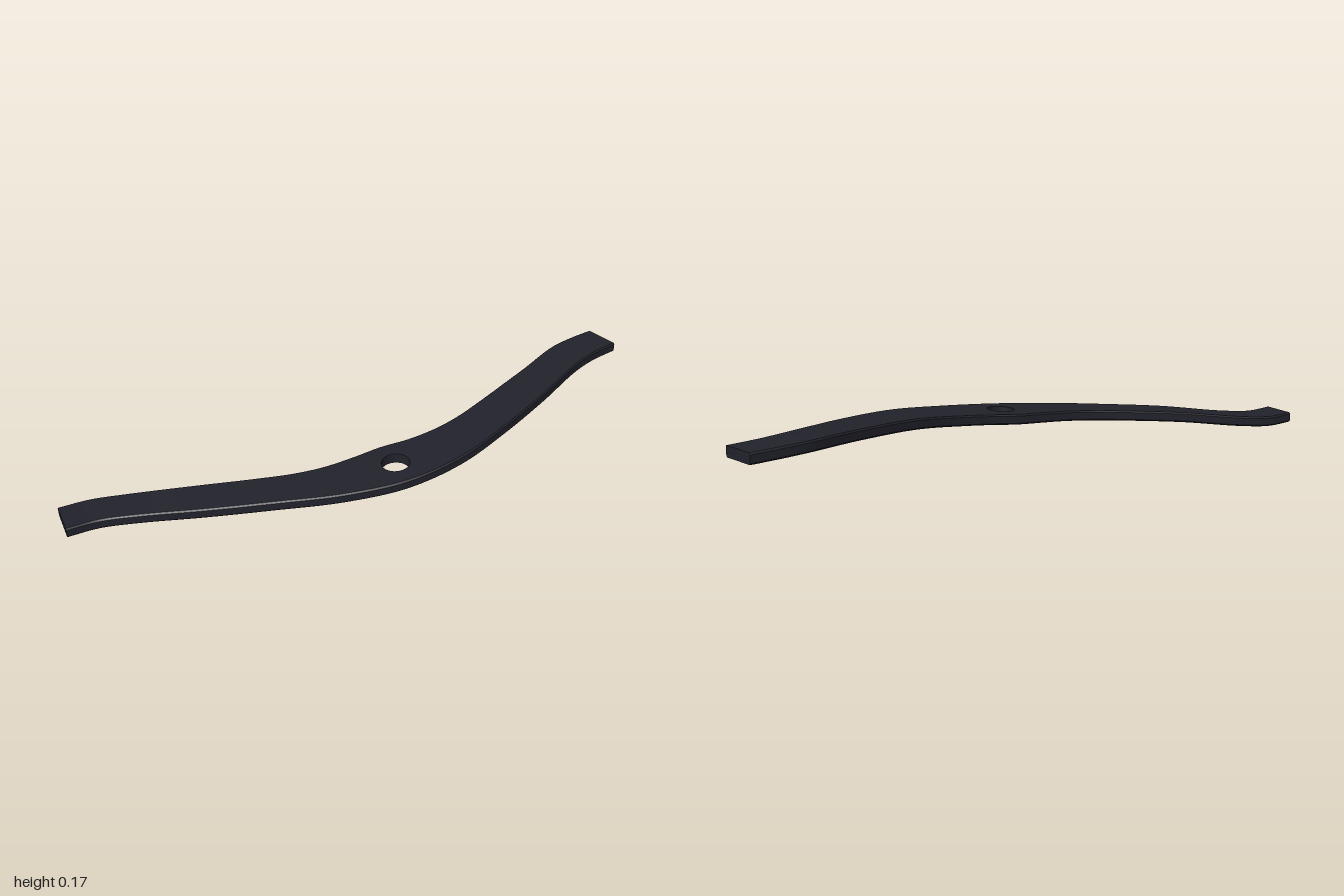
import * as THREE from 'three';
import { toCreasedNormals } from 'three/addons/utils/BufferGeometryUtils.js';

// Smooth function of x through a few [x, value] points
function curve(points) {
  const f = new THREE.CubicInterpolant(points.map(p => p[0]), points.map(p => p[1]), 1, [0]);
  return x => f.evaluate(x)[0];
}

const frontEdge = curve([[-1, -0.06], [-0.9, -0.065], [-0.8, -0.035], [-0.6, 0.055], [-0.4, 0.13], [-0.2, 0.198],
  [0, 0.232], [0.2, 0.212], [0.4, 0.145], [0.6, 0.052], [0.8, -0.055], [0.9, -0.095], [1, -0.12]]);
const backEdge = curve([[-1, -0.18], [-0.9, -0.184], [-0.8, -0.157], [-0.6, -0.08], [-0.4, -0.01], [-0.3, 0.02],
  [-0.2, 0.036], [-0.1, 0.035], [0, 0.029], [0.1, 0.037], [0.2, 0.031], [0.3, 0.01], [0.4, -0.025], [0.6, -0.11],
  [0.8, -0.197], [0.9, -0.222], [1, -0.24]]);
const height = curve([[-1, 0.02], [-0.9, 0.017], [-0.8, 0.023], [-0.6, 0.045], [-0.4, 0.06], [-0.2, 0.073],
  [0, 0.086], [0.2, 0.104], [0.4, 0.127], [0.6, 0.14], [0.8, 0.148], [0.9, 0.148], [1, 0.147]]);

const HALF = 0.017, BEVEL = 0.005;
const HOLE_X = 0.007, HOLE_R = 0.045;

// Columns along the bar, spaced round the circle where they cross the hole
function columns() {
  const list = [], n = 44, m = 24;
  const a = HOLE_X - HOLE_R, b = HOLE_X + HOLE_R;
  for (let i = 0; i < n; i++) list.push({ x: -1 + (a + 1) * i / n, h: 0 });
  for (let i = 0; i <= m; i++) {
    const t = Math.PI * i / m;
    list.push({ x: HOLE_X - HOLE_R * Math.cos(t), h: i % m ? HOLE_R * Math.sin(t) : 0 });
  }
  for (let i = 1; i <= n; i++) list.push({ x: b + (1 - b) * i / n, h: 0 });
  return list;
}

// Bevelled cross-section of the front (s = 1) or back (s = -1) half at one column
function section({ x, h }, s) {
  const y = height(x), zi = (frontEdge(x) + backEdge(x)) / 2 + s * h;
  const zo = s > 0 ? frontEdge(x) : backEdge(x);
  const skew = THREE.MathUtils.smoothstep(x, 0.6, 1); // slanted right tip
  const xi = x - 0.015 * skew, xo = x - (s < 0 ? 0.03 : 0) * skew;
  const zb = zo - s * BEVEL;
  return [[xi, y - HALF, zi], [xo, y - HALF, zb], [xo, y - HALF + BEVEL, zo],
    [xo, y + HALF - BEVEL, zo], [xo, y + HALF, zb], [xi, y + HALF, zi]];
}

function barGeometry() {
  const out = [], cols = columns();
  for (const s of [1, -1]) {
    const tri = (a, b, c) => out.push(...a, ...(s > 0 ? b : c), ...(s > 0 ? c : b));
    const rings = cols.map(c => section(c, s));
    const last = rings.length - 1;
    for (let i = 0; i < last; i++) {
      const p = rings[i], q = rings[i + 1];
      const open = cols[i].h > 0 || cols[i + 1].h > 0; // wall of the hole
      for (let j = 0; j < (open ? 6 : 5); j++) {
        const k = (j + 1) % 6;
        tri(p[j], q[j], q[k]);
        tri(p[j], q[k], p[k]);
      }
    }
    // End caps
    for (let j = 1; j < 5; j++) {
      tri(rings[0][0], rings[0][j], rings[0][j + 1]);
      tri(rings[last][0], rings[last][j + 1], rings[last][j]);
    }
  }
  const g = new THREE.BufferGeometry();
  g.setAttribute('position', new THREE.Float32BufferAttribute(out, 3));
  return toCreasedNormals(g, 0.6);
}

export function createModel() {
  const group = new THREE.Group();
  group.name = 'curvedBar';
  const darkMetal = new THREE.MeshStandardMaterial({ color: 0x22222c });
  darkMetal.name = 'dark metal';
  const bar = new THREE.Mesh(barGeometry(), darkMetal);
  bar.name = 'bladeWithHole';
  group.add(bar);
  return group;
}
